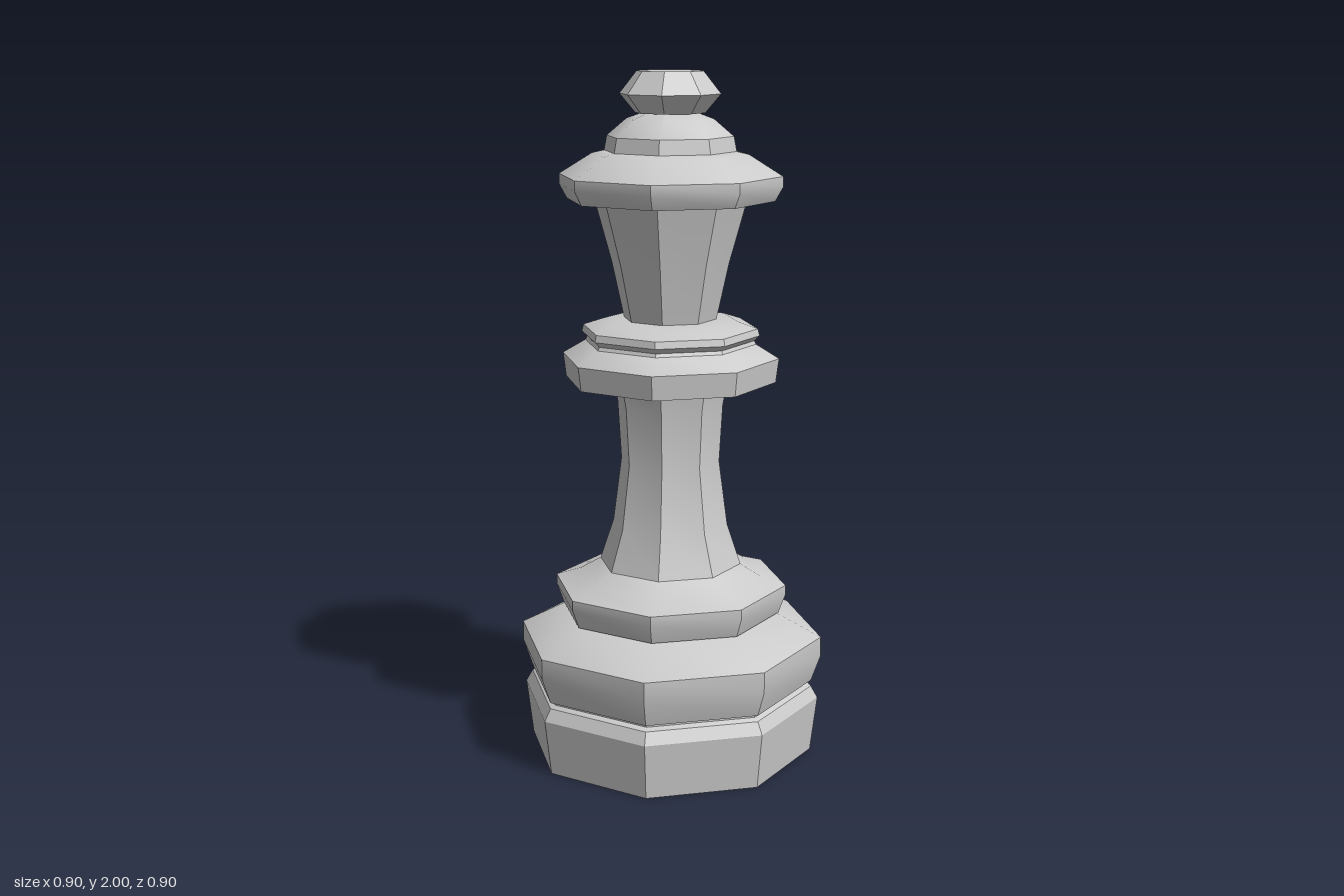
import * as THREE from 'three';
import { toCreasedNormals } from 'three/addons/utils/BufferGeometryUtils.js';

const SIDES = 8;
const CREASE = THREE.MathUtils.degToRad(30);

// Each part is an eight-sided turning: [radius, height] from bottom to top.
const PROFILES = {
  base: [
    [0, 0], [0.425, 0], [0.445, 0.165], [0.425, 0.2], [0.41, 0.208],
    [0.41, 0.215], [0.425, 0.218], [0.452, 0.295], [0.452, 0.355],
    [0.315, 0.425], [0, 0.425],
  ],
  baseRing: [
    [0, 0.425], [0.325, 0.425], [0.345, 0.48], [0.345, 0.51],
    [0.27, 0.535], [0.21, 0.57], [0, 0.57],
  ],
  column: [
    [0.21, 0.57], [0.17, 0.69], [0.145, 0.88], [0.155, 1.05], [0.17, 1.125],
  ],
  collar: [
    [0, 1.12], [0.308, 1.12], [0.317, 1.19], [0.25, 1.23], [0.245, 1.24],
    [0.26, 1.255], [0.255, 1.275], [0.195, 1.295], [0.13, 1.3], [0, 1.3],
  ],
  neck: [
    [0.135, 1.3], [0.17, 1.46], [0.22, 1.64],
  ],
  crown: [
    [0, 1.635], [0.3, 1.64], [0.322, 1.68], [0.322, 1.71],
    [0.225, 1.77], [0.19, 1.778], [0, 1.778],
  ],
  crownDome: [
    [0.19, 1.778], [0.182, 1.82], [0.125, 1.868], [0.075, 1.886], [0, 1.886],
  ],
  finial: [
    [0, 1.884], [0.1, 1.884], [0.145, 1.937], [0.095, 2], [0, 2],
  ],
};

export function createModel() {
  const group = new THREE.Group();
  group.name = 'chessPiece';
  const material = new THREE.MeshStandardMaterial({ color: 0xcccccc });

  for (const [name, profile] of Object.entries(PROFILES)) {
    const points = profile.map(([r, y]) => new THREE.Vector2(r, y));
    const geometry = toCreasedNormals(new THREE.LatheGeometry(points, SIDES), CREASE);
    const mesh = new THREE.Mesh(geometry, material);
    mesh.name = name;
    group.add(mesh);
  }
  return group;
}
